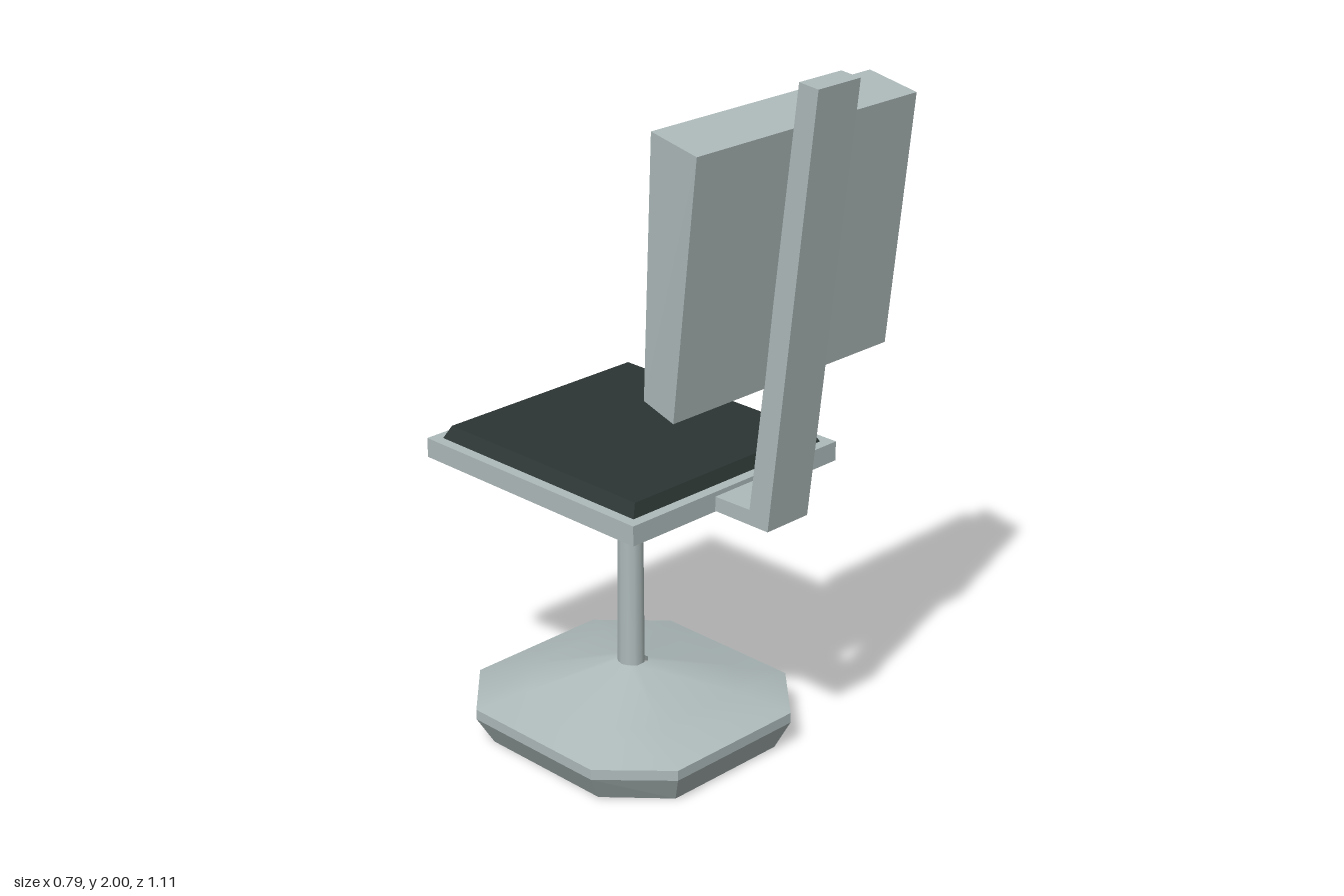
import * as THREE from 'three';
import { mergeVertices } from 'three/addons/utils/BufferGeometryUtils.js';

const CX = 0.006, CZ = -0.16; // axis of the seat and base

// Skin a list of matching rings, with optional end caps
function loft(rings, { caps = true, smooth = false } = {}) {
  const pos = [], n = rings[0].length;
  const tri = (...pts) => pts.forEach((p) => pos.push(...p));
  for (let r = 0; r < rings.length - 1; r++) {
    for (let i = 0; i < n; i++) {
      const j = (i + 1) % n, a = rings[r], b = rings[r + 1];
      tri(a[i], b[i], b[j]);
      tri(a[i], b[j], a[j]);
    }
  }
  if (caps) {
    const first = rings[0], last = rings[rings.length - 1];
    for (let i = 1; i < n - 1; i++) {
      tri(first[0], first[i], first[i + 1]);
      tri(last[0], last[i + 1], last[i]);
    }
  }
  let geo = new THREE.BufferGeometry();
  geo.setAttribute('position', new THREE.Float32BufferAttribute(pos, 3));
  if (smooth) geo = mergeVertices(geo, 1e-4);
  geo.computeVertexNormals();
  return geo;
}

// Level rectangle about the seat axis
const level = (hx, hz, y) =>
  [[-1, -1], [1, -1], [1, 1], [-1, 1]].map(([a, b]) => [CX + a * hx, y, CZ + b * hz]);

// Level eight-sided ring about the seat axis
const K = 0.58;
const octagon = (hx, hz, y) =>
  [[1, -K], [1, K], [K, 1], [-K, 1], [-1, K], [-1, -K], [-K, -1], [K, -1]]
    .map(([a, b]) => [CX + a * hx, y, CZ + b * hz]);

// Upright rectangle whose bottom and top edges have their own depth
const upright = (x0, x1, y0, z0, y1, z1) =>
  [[x0, y0, z0], [x1, y0, z0], [x1, y1, z1], [x0, y1, z1]];

export function createModel() {
  const group = new THREE.Group();
  const metal = new THREE.MeshStandardMaterial({ color: 0xaebaba });
  metal.name = 'paleGrey';
  const padding = new THREE.MeshStandardMaterial({ color: 0x2b3533 });
  padding.name = 'darkPadding';
  const add = (name, geo, mat = metal) => {
    const mesh = new THREE.Mesh(geo, mat);
    mesh.name = name;
    group.add(mesh);
    return mesh;
  };

  // Base: hollow underside with a collar, flared rim, then a sloping top
  add('baseRim', loft([
    octagon(0.15, 0.16, 0.09), octagon(0.16, 0.17, 0.02),
    octagon(0.2, 0.21, 0.02), octagon(0.2, 0.21, 0.09),
    octagon(0.3, 0.32, 0.08), octagon(0.333, 0.36, 0),
    octagon(0.378, 0.395, 0.08), octagon(0.378, 0.395, 0.11),
  ], { caps: false }));
  add('baseUnderside', loft([octagon(0.01, 0.01, 0.09), octagon(0.15, 0.16, 0.09)], { caps: false }));
  add('baseTop', loft([
    octagon(0.378, 0.395, 0.11), octagon(0.25, 0.26, 0.152), octagon(0.036, 0.04, 0.214),
  ], { caps: false, smooth: true }));

  // Post
  const post = add('post', new THREE.CylinderGeometry(0.037, 0.041, 0.71, 12));
  post.scale.x = 0.92;
  post.position.set(0, 0.425, CZ);

  // Seat
  add('seatMount', loft([level(0.05, 0.05, 0.775), level(0.145, 0.15, 0.781), level(0.255, 0.26, 0.822)]));
  add('seatPan', loft([level(0.378, 0.395, 0.818), level(0.378, 0.395, 0.873)]));
  add('seatCushion', loft([level(0.348, 0.365, 0.873), level(0.328, 0.35, 0.907)]), padding);

  // Bent strut joining the seat to the backrest: side profile swept across x
  const profile = [[0.23, 0.82], [0.23, 0.86], [0.355, 0.862], [0.495, 2], [0.556, 1.994], [0.418, 0.82]];
  const shape = new THREE.Shape(profile.map(([z, y]) => new THREE.Vector2(-z, y)));
  const strut = new THREE.ExtrudeGeometry(shape, { depth: 0.148, bevelEnabled: false });
  strut.rotateY(Math.PI / 2);
  strut.translate(-0.079, 0, 0);
  add('backStrut', strut);

  // Backrest shell and cushion, both lofted towards the sitter
  add('backrestShell', loft([
    upright(-0.397, 0.375, 1.205, 0.4, 1.883, 0.475),
    upright(-0.378, 0.392, 1.225, 0.281, 1.905, 0.308),
  ]));
  add('backrestCushion', loft([
    upright(-0.342, 0.358, 1.25, 0.285, 1.877, 0.31),
    upright(-0.322, 0.342, 1.275, 0.24, 1.862, 0.264),
  ]), padding);

  return group;
}
